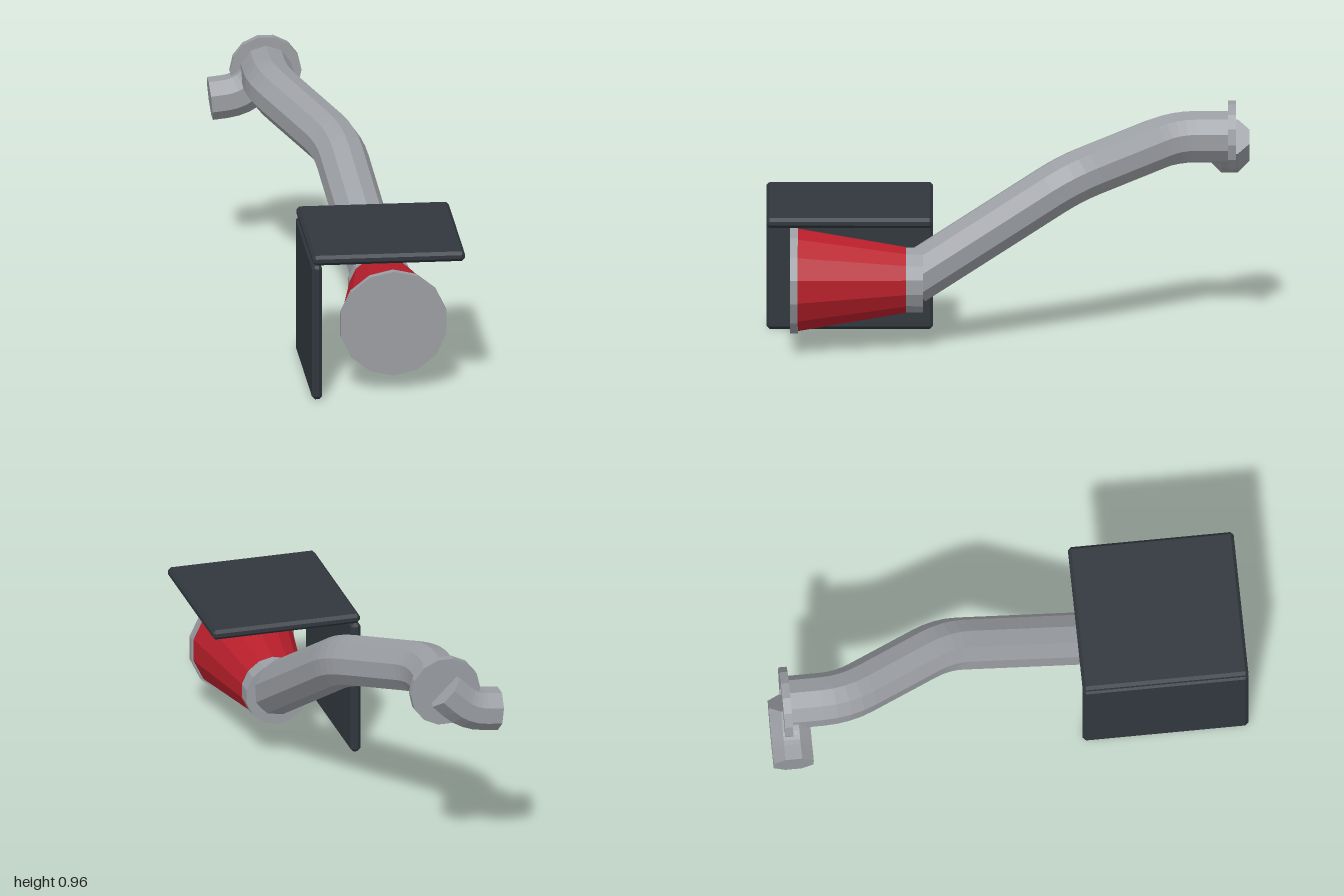
import * as THREE from 'three';
import { ConvexGeometry } from 'three/addons/geometries/ConvexGeometry.js';

const V = (x, y, z) => new THREE.Vector3(x, y, z);

// Faceted look: split the vertices so every face has its own normal
function facet(geometry) {
  const g = geometry.index ? geometry.toNonIndexed() : geometry;
  g.computeVertexNormals();
  return g;
}

// Box with every edge and corner chamfered
function chamferBox(w, h, d, c) {
  const pts = [];
  for (const sx of [-1, 1]) for (const sy of [-1, 1]) for (const sz of [-1, 1]) {
    const x = w / 2, y = h / 2, z = d / 2;
    pts.push(V(sx * x, sy * (y - c), sz * (z - c)));
    pts.push(V(sx * (x - c), sy * y, sz * (z - c)));
    pts.push(V(sx * (x - c), sy * (y - c), sz * z));
  }
  return facet(new ConvexGeometry(pts));
}

// Round the corners of a polyline, returning points with tangents
function roundedPath(points, trim, steps) {
  const out = [];
  const dir = (a, b) => b.clone().sub(a).normalize();
  const last = points.length - 1;
  out.push({ p: points[0], t: dir(points[0], points[1]) });
  for (let i = 1; i < last; i++) {
    const din = dir(points[i - 1], points[i]);
    const dout = dir(points[i], points[i + 1]);
    const bend = new THREE.QuadraticBezierCurve3(
      points[i].clone().addScaledVector(din, -trim), points[i],
      points[i].clone().addScaledVector(dout, trim));
    for (let k = 0; k <= steps; k++) {
      out.push({ p: bend.getPoint(k / steps), t: bend.getTangent(k / steps).normalize() });
    }
  }
  out.push({ p: points[last], t: dir(points[last - 1], points[last]) });
  return out;
}

// Capped polygonal pipe; the first corner of the section lies at angle `turn` from `up`
function pipeGeometry(points, radius, sides, up, turn, trim, steps) {
  const path = roundedPath(points, trim, steps);
  const n = up.clone();
  const rings = path.map(({ p, t }) => {
    n.addScaledVector(t, -n.dot(t)).normalize();
    const b = t.clone().cross(n);
    return Array.from({ length: sides }, (_, j) => {
      const a = turn + (j / sides) * Math.PI * 2;
      return p.clone().addScaledVector(n, radius * Math.cos(a)).addScaledVector(b, radius * Math.sin(a));
    });
  });
  const tris = [];
  const first = rings[0], end = rings[rings.length - 1];
  for (let j = 0; j < sides; j++) {
    const k = (j + 1) % sides;
    for (let i = 0; i < rings.length - 1; i++) {
      const a = rings[i], b = rings[i + 1];
      tris.push(a[j], a[k], b[k], a[j], b[k], b[j]);
    }
    tris.push(path[0].p, first[k], first[j]);
    tris.push(path[path.length - 1].p, end[j], end[k]);
  }
  return facet(new THREE.BufferGeometry().setFromPoints(tris));
}

// Frustum along z
function frustum(rFront, rBack, zFront, zBack, sides) {
  const g = new THREE.CylinderGeometry(rFront, rBack, zFront - zBack, sides);
  g.rotateX(Math.PI / 2);
  g.translate(0, 0, (zFront + zBack) / 2);
  return facet(g);
}

// Flat polygon ring along z, with a flat side on top
function ringGeometry(outer, inner, depth, sides) {
  const loop = (r) => Array.from({ length: sides }, (_, i) => {
    const a = Math.PI / 2 + ((i + 0.5) / sides) * Math.PI * 2;
    return new THREE.Vector2(r * Math.cos(a), r * Math.sin(a));
  });
  const shape = new THREE.Shape(loop(outer));
  shape.holes.push(new THREE.Path(loop(inner).reverse()));
  return facet(new THREE.ExtrudeGeometry(shape, { depth, bevelEnabled: false }));
}

export function createModel() {
  const model = new THREE.Group();
  model.name = 'airIntake';

  const mat = (name, color) => {
    const m = new THREE.MeshStandardMaterial({ color });
    m.name = name;
    return m;
  };
  const metal = mat('greyMetal', 0x9a9da2);
  const red = mat('redFilter', 0xb81f2b);
  const dark = mat('darkPanel', 0x30373d);

  const add = (name, geometry, material, x = 0, y = 0, z = 0, parent = model) => {
    const mesh = new THREE.Mesh(geometry, material);
    mesh.name = name;
    mesh.position.set(x, y, z);
    parent.add(mesh);
  };

  // Heat shield: a lid and a side wall
  add('shieldTop', chamferBox(0.635, 0.042, 0.69, 0.013), dark, 0.12, 0.604, 0.655);
  add('shieldSide', chamferBox(0.042, 0.582, 0.69, 0.013), dark, -0.179, 0.291, 0.655);

  // Cone filter with front cap and rear collar
  const filter = new THREE.Group();
  filter.name = 'filter';
  filter.position.set(0.149, 0.291, 0);
  model.add(filter);
  add('filterCap', frustum(0.226, 0.226, 0.902, 0.87, 14), metal, 0, 0, 0, filter);
  add('filterCone', frustum(0.217, 0.139, 0.87, 0.422, 14), red, 0, 0, 0, filter);
  add('filterCollar', frustum(0.137, 0.137, 0.425, 0.352, 14), metal, 0, 0, 0, filter);

  // Long bent intake pipe, from the flange forward to the filter
  add('intakePipe', pipeGeometry(
    [V(-0.2, 0.815, -0.925), V(-0.2, 0.815, -0.69), V(0.035, 0.694, -0.256), V(0.146, 0.291, 0.4)],
    0.11, 10, V(0, 1, 0), 0, 0.09, 4), metal);

  // Flange ring at the rear end
  add('flange', ringGeometry(0.149, 0.08, 0.034, 14), metal, -0.2, 0.815, -0.945);

  // Short elbow leaving the flange sideways
  add('outletElbow', pipeGeometry(
    [V(-0.2, 0.815, -0.918), V(-0.3, 0.714, -0.918), V(-0.432, 0.7, -0.918)],
    0.09, 8, V(0, 0, 1), Math.PI / 8, 0.07, 4), metal);

  return model;
}
